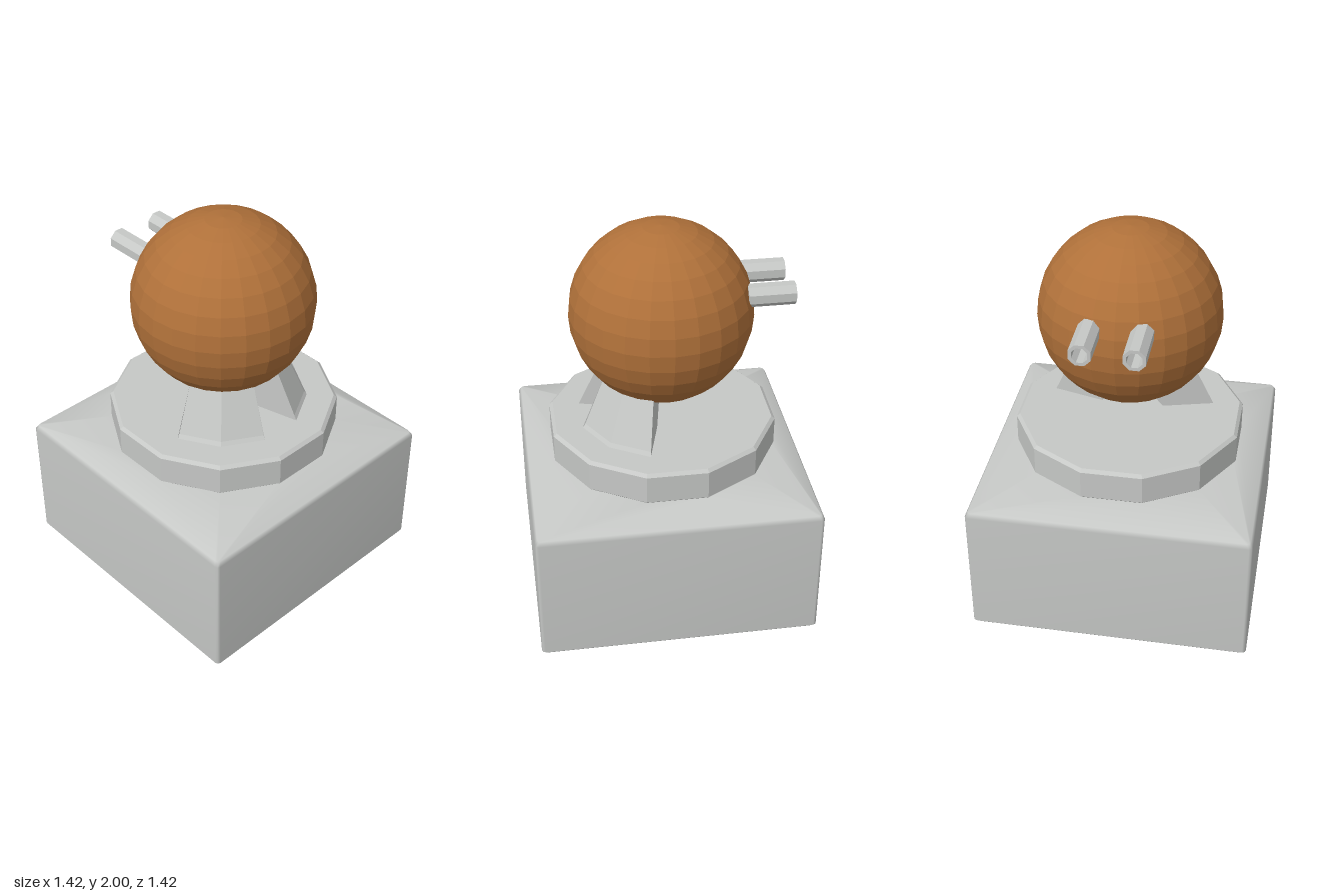
import * as THREE from 'three';

// Joins equal-length loops of points into a closed solid with end caps
function loft(rings) {
  const n = rings[0].length, last = (rings.length - 1) * n, index = [];
  for (let r = 0; r < rings.length - 1; r++) {
    for (let i = 0; i < n; i++) {
      const a = r * n + i, b = r * n + (i + 1) % n;
      index.push(a, a + n, b, b, a + n, b + n);
    }
  }
  for (let i = 1; i < n - 1; i++) {
    index.push(0, i, i + 1, last, last + i + 1, last + i);
  }
  const g = new THREE.BufferGeometry();
  g.setAttribute('position', new THREE.Float32BufferAttribute(rings.flat(2), 3));
  g.setIndex(index);
  g.computeVertexNormals();
  return g;
}

// Non-indexed copy with one normal per face
function faceted(g) {
  const f = g.index ? g.toNonIndexed() : g;
  f.computeVertexNormals();
  return f;
}

const rad = THREE.MathUtils.degToRad;

// Twelve-point loops: square with cut corners, and regular polygon
function squareRing(s, y, cut = 0.018) {
  const ring = [];
  for (let q = 0; q < 4; q++) {
    for (const [px, pz] of [[s, s - cut], [s - cut * 0.3, s - cut * 0.3], [s - cut, s]]) {
      let x = px, z = pz;
      for (let k = 0; k < q; k++) [x, z] = [-z, x];
      ring.push([x, y, z]);
    }
  }
  return ring;
}

function polyRing(r, y) {
  return Array.from({ length: 12 }, (_, i) => {
    const a = rad(15 + 30 * i);
    return [r * Math.cos(a), y, r * Math.sin(a)];
  });
}

export function createModel() {
  const model = new THREE.Group();
  const grey = new THREE.MeshStandardMaterial({ color: 0xc6c8c6 });
  grey.name = 'light grey';
  const copper = new THREE.MeshStandardMaterial({ color: 0xb0713a });
  copper.name = 'copper brown';

  const add = (name, geometry, material) => {
    const mesh = new THREE.Mesh(geometry, material);
    mesh.name = name;
    model.add(mesh);
    return mesh;
  };

  // Softly shaded square base whose shoulder narrows to twelve sides
  add('base', loft([
    squareRing(0.69, 0), squareRing(0.708, 0.02), squareRing(0.708, 0.7),
    squareRing(0.695, 0.722), polyRing(0.575, 0.795),
  ]), grey);

  // Twelve-sided turntable with thin bevels
  add('turntable', faceted(loft([
    polyRing(0.57, 0.785), polyRing(0.585, 0.8),
    polyRing(0.585, 0.945), polyRing(0.568, 0.96),
  ])), grey);

  // Two leaning supports, each a 60 degree arc of a wedge profile
  const profile = [[0.432, 0.955], [0.415, 0.98], [0.298, 1.25], [0.05, 1.12], [0.17, 0.955]];
  for (const [name, centre] of [['leftSupport', 45], ['rightSupport', 135]]) {
    const rings = [30, 0, -30].map((offset) => {
      const a = rad(centre + offset);
      return profile.map(([r, y]) => [r * Math.cos(a), y, r * Math.sin(a)]);
    });
    add(name, faceted(loft(rings)), grey);
  }

  // Faceted ball
  const ball = add('ball', faceted(new THREE.SphereGeometry(0.457, 24, 16)), copper);
  ball.position.y = 1.543;

  // Two hollow octagonal barrels pointing backwards
  const barrelProfile = [[0, 0], [0.057, 0], [0.057, 0.235], [0.04, 0.235], [0.04, 0.03], [0, 0.03]]
    .map(([r, y]) => new THREE.Vector2(r, y));
  const barrelGeometry = faceted(new THREE.LatheGeometry(barrelProfile, 8, Math.PI / 8));
  for (const [name, side] of [['leftBarrel', 1], ['rightBarrel', -1]]) {
    const barrel = add(name, barrelGeometry, grey);
    barrel.rotation.x = -Math.PI / 2;
    barrel.position.set(side * 0.125, 1.657, -0.4);
  }

  return model;
}
